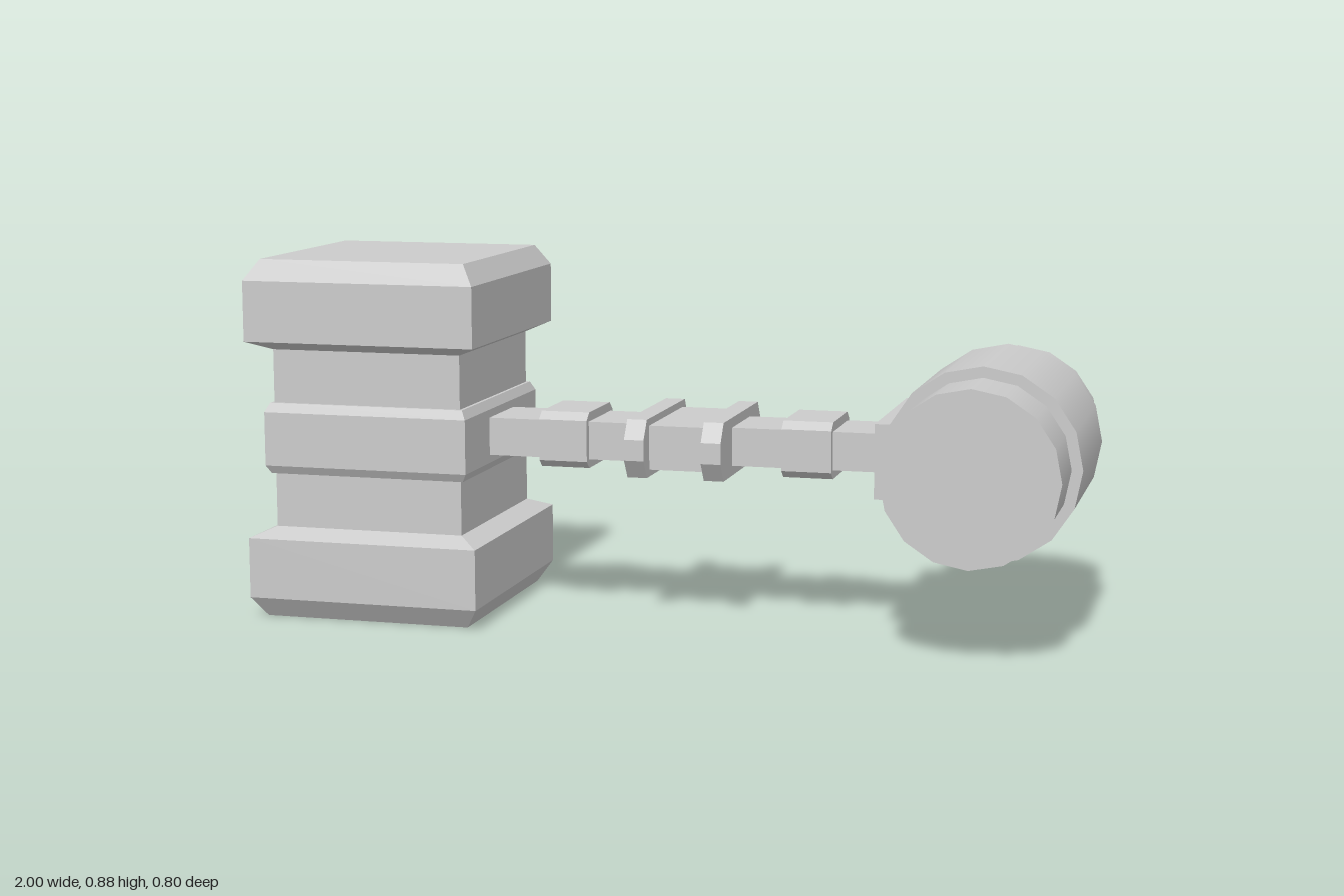
import * as THREE from 'three';

const AXIS_Y = 0.4375;
const flat = new THREE.MeshStandardMaterial({ color: 0xcccccc, flatShading: true });
const smooth = new THREE.MeshStandardMaterial({ color: 0xcccccc });

function add(parent, name, geometry, material, x = 0, y = 0, z = 0) {
  const mesh = new THREE.Mesh(geometry, material);
  mesh.name = name;
  mesh.position.set(x, y, z);
  parent.add(mesh);
  return mesh;
}

// Square-section stack from [half width, height] pairs, closed at both ends
function squareStack(profile, depthRatio) {
  const points = profile.map(([half, y]) => new THREE.Vector2(half * Math.SQRT2, y));
  const geometry = new THREE.LatheGeometry(points, 4).toNonIndexed();
  geometry.rotateY(Math.PI / 4);
  geometry.scale(1, 1, depthRatio);
  geometry.computeVertexNormals();
  return geometry;
}

// Block running along x whose four long edges are cut by cutZ and cutY
function chamferedBar(length, halfY, halfZ, cutY, cutZ) {
  const shape = new THREE.Shape([
    [halfZ, halfY - cutY], [halfZ - cutZ, halfY], [cutZ - halfZ, halfY], [-halfZ, halfY - cutY],
    [-halfZ, cutY - halfY], [cutZ - halfZ, -halfY], [halfZ - cutZ, -halfY], [halfZ, cutY - halfY],
  ].map(([z, y]) => new THREE.Vector2(z, y)));
  const geometry = new THREE.ExtrudeGeometry(shape, { depth: length, bevelEnabled: false });
  geometry.translate(0, 0, -length / 2);
  geometry.rotateY(Math.PI / 2);
  return geometry;
}

function drum(parent, name, radius, halfDepth) {
  const geometry = new THREE.CylinderGeometry(radius, radius, halfDepth * 2, 16);
  geometry.rotateX(Math.PI / 2);
  add(parent, name, geometry, smooth, 0.77, AXIS_Y, 0);
}

export function createModel() {
  const model = new THREE.Group();
  model.name = 'hammer';

  // Square head: bevelled striking blocks joined by a neck
  const head = new THREE.Group();
  head.name = 'head';
  model.add(head);
  const lower = [[0, 0], [0.258, 0], [0.29, 0.05], [0.29, 0.197], [0.238, 0.22]];
  const upper = lower.map(([half, y]) => [half, 2 * AXIS_Y - y]).reverse();
  add(head, 'headBlocks', squareStack([...lower, ...upper], 1.05), flat, -0.71);
  const band = [[0, 0.352], [0.246, 0.352], [0.257, 0.372], [0.257, 0.503], [0.246, 0.525], [0, 0.525]];
  add(head, 'headBand', squareStack(band, 1.05), flat, -0.71);

  // Handle bar with a sleeve on each half
  const handle = new THREE.Group();
  handle.name = 'handle';
  model.add(handle);
  add(handle, 'shaft', new THREE.BoxGeometry(1.1, 0.092, 0.184), flat, 0.04, AXIS_Y);
  for (const x of [-0.26, 0.34]) {
    add(handle, 'sleeve', chamferedBar(0.12, 0.068, 0.11, 0.018, 0.022), flat, x, AXIS_Y);
  }

  // Central grip block between two wide flanges
  add(handle, 'gripBlock', new THREE.BoxGeometry(0.18, 0.106, 0.31), flat, 0.04, AXIS_Y);
  for (const x of [-0.055, 0.132]) {
    add(handle, 'flange', chamferedBar(0.048, 0.07, 0.206, 0.045, 0.03), flat, x, AXIS_Y);
  }

  // Round pommel lying along z, with a wider collar and mounting plate
  const pommel = new THREE.Group();
  pommel.name = 'pommel';
  model.add(pommel);
  drum(pommel, 'pommelDrum', 0.204, 0.398);
  drum(pommel, 'pommelCollar', 0.23, 0.213);
  add(pommel, 'mountingPlate', new THREE.BoxGeometry(0.1, 0.176, 0.426), flat, 0.573, AXIS_Y);

  return model;
}
